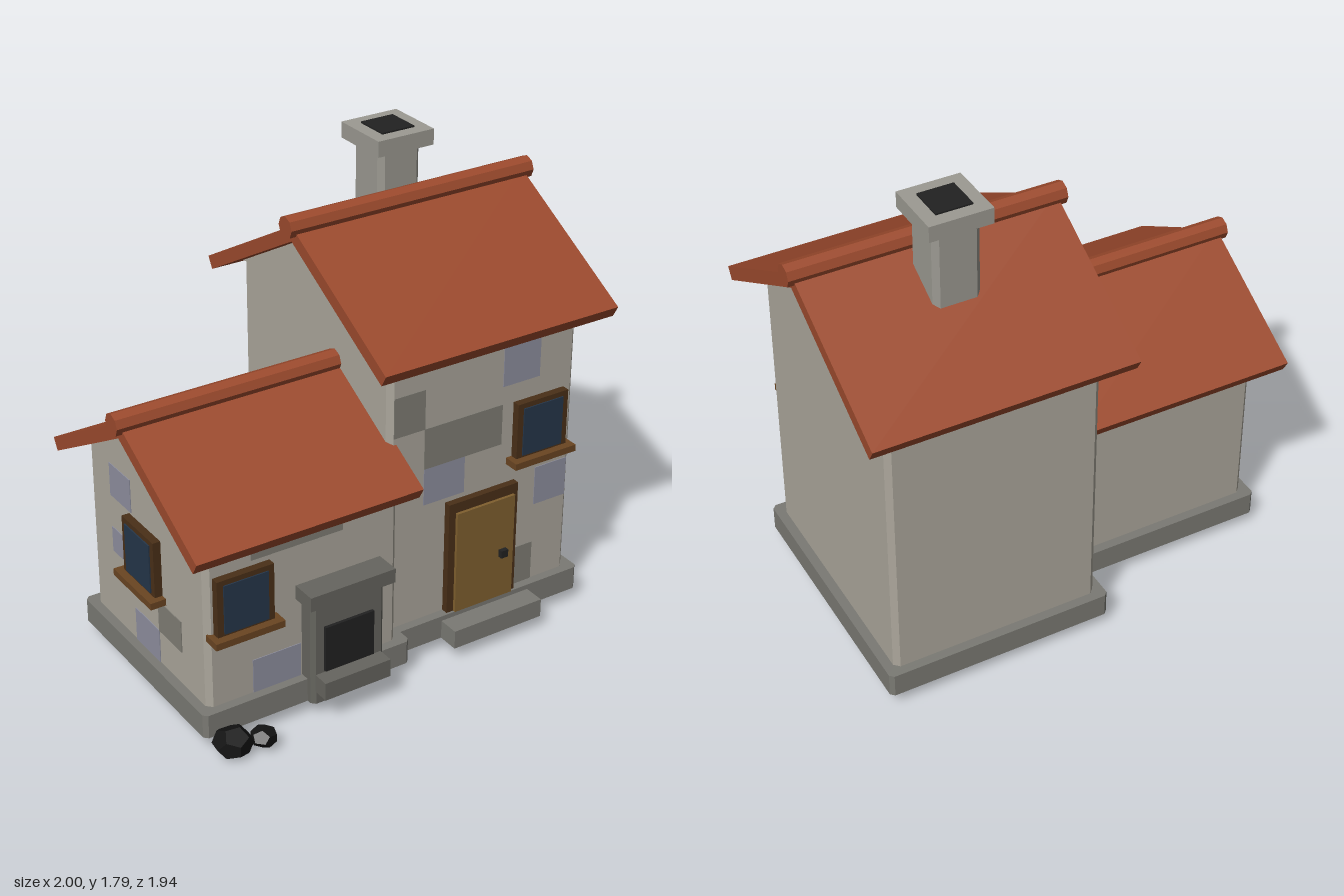
import * as THREE from 'three';

const mat = (color) => new THREE.MeshStandardMaterial({ color, flatShading: true });
const M = {
  wall: mat(0xaca79c), plinth: mat(0x7b7a74), trim: mat(0x66655f), roof: mat(0x9c4a2d),
  frame: mat(0x4a3018), sill: mat(0x6a4522), door: mat(0x80602f), glass: mat(0x25364a),
  dark: mat(0x222222), coal: mat(0x141414), blueStone: mat(0x8f90a0), greyStone: mat(0x807e76),
  chimney: mat(0x9c9a92),
};
const SLOPE = 0.567; // roof rise per unit of run

function add(parent, name, geometry, material) {
  const mesh = new THREE.Mesh(geometry, material);
  mesh.name = name;
  parent.add(mesh);
  return mesh;
}

// Box given by its limits on each axis
function box(parent, name, material, [x0, x1], [y0, y1], [z0, z1]) {
  const m = add(parent, name, new THREE.BoxGeometry(x1 - x0, y1 - y0, z1 - z0), material);
  m.position.set((x0 + x1) / 2, (y0 + y1) / 2, (z0 + z1) / 2);
  return m;
}

// Rectangle outline with cut corners
function cutRect(w, d, c) {
  const x = w / 2, y = d / 2;
  return [[x - c, -y], [x, c - y], [x, y - c], [x - c, y], [c - x, y], [-x, y - c], [-x, c - y], [c - x, -y]]
    .map(([px, py]) => new THREE.Vector2(px, py));
}

// Upright block with cut vertical edges, optionally a hollow ring
function block(parent, name, material, [x0, x1], [y0, y1], [z0, z1], cut, ring = 0) {
  const w = x1 - x0, d = z1 - z0;
  const shape = new THREE.Shape(cutRect(w, d, cut));
  if (ring) shape.holes.push(new THREE.Path(cutRect(w - 2 * ring, d - 2 * ring, 0.005)));
  const g = new THREE.ExtrudeGeometry(shape, { depth: y1 - y0, bevelEnabled: false });
  g.rotateX(-Math.PI / 2);
  const m = add(parent, name, g, material);
  m.position.set((x0 + x1) / 2, y0, (z0 + z1) / 2);
  return m;
}

// Cross-section in z and y, extruded along x
function prism(parent, name, material, points, [x0, x1], z) {
  const shape = new THREE.Shape(points.map(([px, py]) => new THREE.Vector2(px, py)));
  const g = new THREE.ExtrudeGeometry(shape, { depth: x1 - x0, bevelEnabled: false });
  g.rotateY(Math.PI / 2);
  const m = add(parent, name, g, material);
  m.position.set(x0, 0, z);
  return m;
}

// One wing: hollow plinth, walls, gables, roof and ridge
function wing(parent, name, wx, zc, halfDepth, apex, roofX, ridgeX) {
  const g = new THREE.Group();
  g.name = name;
  parent.add(g);
  const o = 0.036, wz = [zc - halfDepth, zc + halfDepth];
  block(g, 'plinth', M.plinth, [wx[0] - o, wx[1] + o], [0.055, 0.147], [wz[0] - o, wz[1] + o], 0.015, 0.06);
  const under = apex - 0.05 * Math.hypot(1, SLOPE);
  const wallTop = under - halfDepth * SLOPE;
  block(g, 'walls', M.wall, wx, [0.13, wallTop], wz, 0.02);
  prism(g, 'gables', M.wall, [[-halfDepth, wallTop], [halfDepth, wallTop], [0, under]], wx, zc);
  // folded roof slab with square-cut eaves
  const h = halfDepth + 0.105, e = apex - h * SLOPE;
  prism(g, 'roof', M.roof,
    [[0, apex], [-h, e], [-h + 0.025, e - 0.044], [0, under], [h - 0.025, e - 0.044], [h, e]], roofX, zc);
  const ridge = add(g, 'ridge', new THREE.CylinderGeometry(0.042, 0.042, ridgeX[1] - ridgeX[0], 8), M.roof);
  ridge.rotation.set(0, 0, Math.PI / 2);
  ridge.position.set((ridgeX[0] + ridgeX[1]) / 2, apex, zc);
}

// Window facing +z, wall plane at its own z = 0
function windowUnit(parent, name, x, y, z, turn = 0) {
  const g = new THREE.Group();
  g.name = name;
  box(g, 'windowFrame', M.frame, [-0.111, 0.111], [-0.12, 0.12], [-0.01, 0.03]);
  box(g, 'windowGlass', M.glass, [-0.087, 0.087], [-0.09, 0.1], [-0.01, 0.035]);
  box(g, 'windowSill', M.sill, [-0.135, 0.135], [-0.125, -0.099], [-0.01, 0.06]);
  g.position.set(x, y, z);
  g.rotation.y = turn;
  parent.add(g);
}

export function createModel() {
  const model = new THREE.Group();
  model.name = 'cottage';
  const house = new THREE.Group();
  house.name = 'house';
  house.rotation.y = Math.PI / 6;
  model.add(house);

  wing(house, 'mainWing', [-0.05, 0.757], -0.057, 0.478, 1.57, [-0.138, 0.85], [-0.163, 0.875]);
  wing(house, 'lowWing', [-0.823, -0.05], 0.081, 0.403, 1.093, [-0.908, -0.019], [-0.932, 0]);

  // Chimney
  block(house, 'chimneyShaft', M.chimney, [0.272, 0.448], [1.3, 1.73], [-0.296, -0.12], 0.02);
  box(house, 'chimneyCap', M.chimney, [0.242, 0.478], [1.727, 1.787], [-0.325, -0.089]);
  box(house, 'flue', M.dark, [0.292, 0.428], [1.74, 1.793], [-0.275, -0.139]);

  // Door and step
  box(house, 'doorFrame', M.frame, [0.196, 0.5], [0.145, 0.6], [0.4, 0.448]);
  box(house, 'door', M.door, [0.225, 0.48], [0.147, 0.56], [0.4, 0.46]);
  box(house, 'doorHandle', M.dark, [0.415, 0.445], [0.32, 0.35], [0.45, 0.478]);
  box(house, 'doorStep', M.plinth, [0.168, 0.558], [0.055, 0.128], [0.42, 0.541]);

  // Windows
  windowUnit(house, 'mainWindow', 0.596, 0.8, 0.421);
  windowUnit(house, 'lowWindow', -0.683, 0.54, 0.484);
  windowUnit(house, 'gableWindow', -0.823, 0.54, 0.075, -Math.PI / 2);

  // Outdoor hearth
  block(house, 'hearthBody', M.trim, [-0.447, -0.148], [0.055, 0.47], [0.46, 0.552], 0.015);
  box(house, 'mantel', M.trim, [-0.47, -0.125], [0.465, 0.52], [0.46, 0.582]);
  box(house, 'firebox', M.dark, [-0.4, -0.2], [0.185, 0.365], [0.5, 0.564]);
  box(house, 'hearthLedge', M.trim, [-0.434, -0.164], [0.107, 0.177], [0.5, 0.615]);

  // Stone patches: start, end, bottom, top, material
  const B = M.blueStone, G = M.greyStone;
  const mainStones = [[-0.03, 0.1, 0.925, 1.08, G], [0.1, 0.435, 0.765, 0.925, G], [0.1, 0.275, 0.62, 0.765, B],
    [0.435, 0.595, 0.995, 1.19, B], [0.595, 0.737, 0.465, 0.62, B], [0.5, 0.595, 0.147, 0.305, G]];
  const lowStones = [[-0.645, -0.28, 0.68, 0.77, G], [-0.645, -0.453, 0.147, 0.28, B]];
  const gableStones = [[-0.168, -0.018, 0.67, 0.8, B], [-0.168, -0.018, 0.44, 0.54, B],
    [0.154, 0.314, 0.28, 0.405, G], [-0.018, 0.154, 0.147, 0.28, B]];
  for (const [s, e, b, t, m] of mainStones) box(house, 'stone', m, [s, e], [b, t], [0.41, 0.424]);
  for (const [s, e, b, t, m] of lowStones) box(house, 'stone', m, [s, e], [b, t], [0.474, 0.487]);
  for (const [s, e, b, t, m] of gableStones) box(house, 'stone', m, [-0.826, -0.813], [b, t], [s, e]);

  // Coal lumps
  for (const [x, y, z, r, turn] of [[-0.39, 0.052, 0.89, 0.073, 0.4], [-0.285, 0.052, 0.865, 0.05, 1.3]]) {
    const lump = add(model, 'coal', new THREE.DodecahedronGeometry(r, 0), M.coal);
    lump.position.set(x, y, z);
    lump.scale.y = 0.75;
    lump.rotation.y = turn;
  }
  return model;
}
